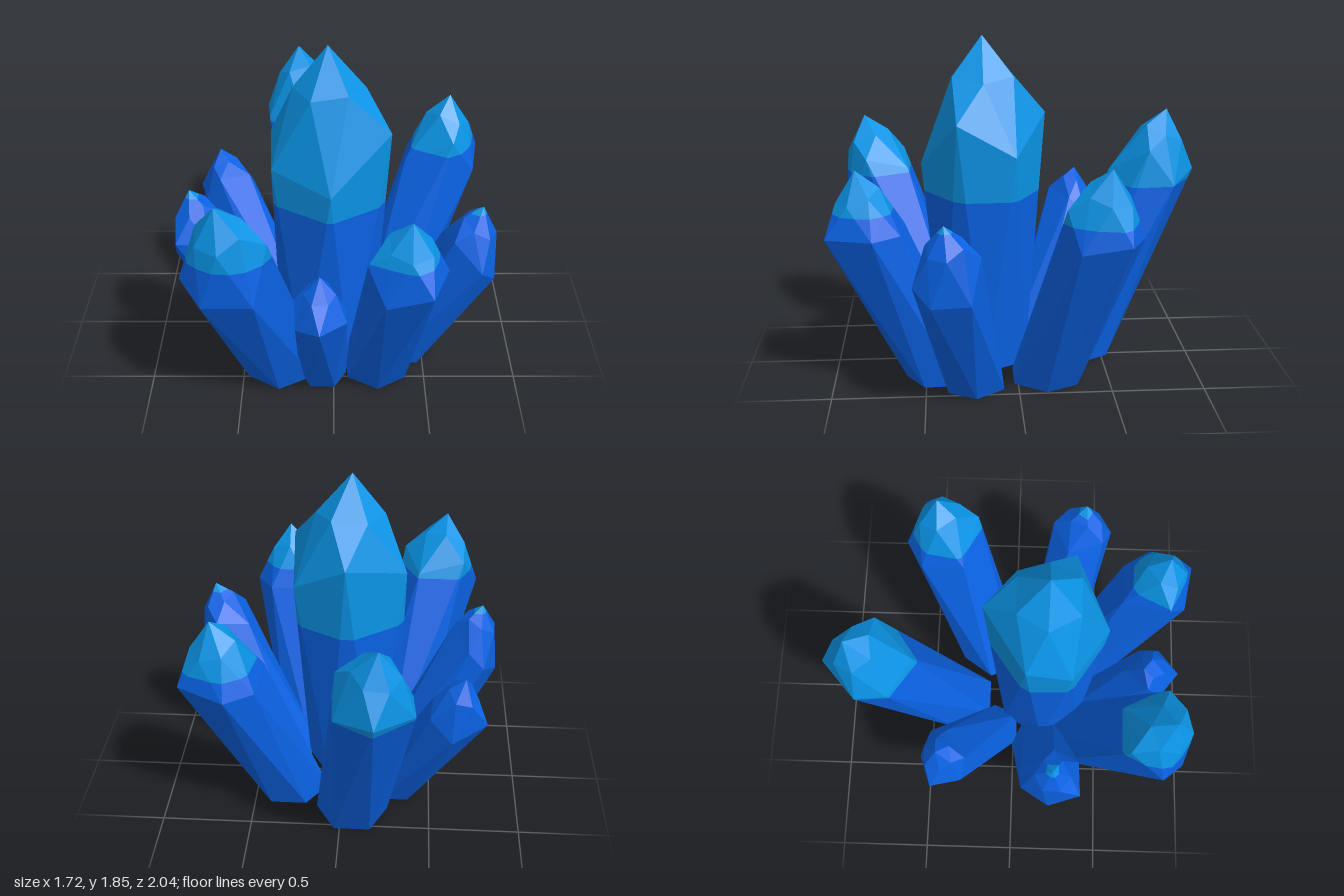
import * as THREE from 'three';

const SIDES = 6;
const SPLIT_Y = 1; // height where the deep blue changes to the light blue
// Uneven shoulder corners: height as a share of the radius, and turn in radians
const ZIGZAG = [0.42, -0.4, -0.24, 0.06, 0.42, -0.12];
const SKEW = [-0.08, 0, 0.1, -0.2, 0, 0];

// name, base centre [x, z], base radius, tip [x, y, z], shoulder radius, spin in steps, outward bend
const CRYSTALS = [
  ['mainCrystal', [-0.04, 0.17], 0.26, [-0.03, 1.85, 0.17], 0.34, 0, 0.02],
  ['backCrystal', [-0.06, -0.34], 0.2, [-0.21, 1.4, -0.88], 0.225, 0, 0.05],
  ['backLeftCrystal', [0.29, -0.15], 0.19, [0.67, 1.28, -0.45], 0.225, 1, 0.08],
  ['leftCrystal', [0.36, 0.23], 0.17, [0.78, 1.04, 0.39], 0.185, 4, 0.075],
  ['frontLeftCrystal', [0.23, 0.41], 0.18, [0.38, 1.22, 0.84], 0.215, 2.5, 0.08],
  ['frontCrystal', [-0.06, 0.46], 0.13, [-0.07, 0.86, 0.77], 0.145, 3, 0.1],
  ['frontRightCrystal', [-0.28, 0.39], 0.2, [-0.57, 1.31, 0.85], 0.24, 5.5, 0.08],
  ['rightCrystal', [-0.35, 0.16], 0.17, [-0.77, 1.04, 0.22], 0.175, 1.5, 0.08],
  ['backRightCrystal', [-0.27, -0.12], 0.15, [-0.66, 0.95, -0.41], 0.16, 3, 0.08],
];

// Part of a convex polygon above (sign 1) or below (sign -1) the split height
function clip(poly, sign) {
  const out = [];
  poly.forEach((a, i) => {
    const b = poly[(i + 1) % poly.length];
    const da = (a.y - SPLIT_Y) * sign;
    const db = (b.y - SPLIT_Y) * sign;
    if (da >= 0) out.push(a);
    if (da * db < 0) out.push(a.clone().lerp(b, da / (da - db)));
  });
  return out;
}

function facetMesh(polys, material, name) {
  const pos = [];
  for (const p of polys) {
    for (let i = 1; i < p.length - 1; i++) {
      for (const v of [p[0], p[i], p[i + 1]]) pos.push(v.x, v.y, v.z);
    }
  }
  const geo = new THREE.BufferGeometry();
  geo.setAttribute('position', new THREE.Float32BufferAttribute(pos, 3));
  geo.computeVertexNormals(); // unshared corners give flat facets
  const mesh = new THREE.Mesh(geo, material);
  mesh.name = name;
  return mesh;
}

// Leaning six-sided column, open below, with a zigzag shoulder and a two-step point
function crystalFaces([bx, bz], baseR, tipXYZ, r, spin, bend) {
  const base = new THREE.Vector3(bx, 0, bz);
  const tip = new THREE.Vector3(...tipXYZ);
  const lean = tip.clone().sub(base).normalize();
  const outward = new THREE.Vector3(lean.x, 0, lean.z).normalize();

  // The column leans further out than its point
  const along = (down, shift) =>
    tip.clone().addScaledVector(lean, -down).addScaledVector(outward, shift);
  const shoulderCentre = along(1.65 * r, bend);
  const neckCentre = along(0.66 * r, bend * 0.5);
  const axis = shoulderCentre.clone().sub(base).normalize();
  const u = new THREE.Vector3(1, 0, 0).addScaledVector(axis, -axis.x).normalize();
  const v = u.clone().cross(axis);

  const ring = (centre, radius, step, uneven) =>
    Array.from({ length: SIDES }, (_, i) => {
      const a = ((i + step + spin) * Math.PI * 2) / SIDES + uneven * SKEW[i];
      return centre.clone()
        .addScaledVector(axis, uneven * ZIGZAG[i] * r)
        .addScaledVector(u, Math.cos(a) * radius)
        .addScaledVector(v, Math.sin(a) * radius);
    });

  const foot = ring(base, baseR, 0, 0);
  foot.forEach((p) => p.addScaledVector(axis, -p.y / axis.y)); // trim to the ground
  const shoulder = ring(shoulderCentre, r, 0.5, 1);
  const neck = ring(neckCentre, 0.56 * r, 1, 0.12);

  const faces = [];
  const band = (lo, up) => {
    for (let i = 0; i < SIDES; i++) {
      const j = (i + 1) % SIDES;
      faces.push([lo[j], lo[i], up[i]], [lo[j], up[i], up[j]]);
    }
  };
  band(foot, shoulder);
  band(shoulder, neck);
  for (let i = 0; i < SIDES; i++) faces.push([neck[(i + 1) % SIDES], neck[i], tip]);
  return faces;
}

export function createModel() {
  const deepBlue = new THREE.MeshStandardMaterial({ color: 0x0a62e4, side: THREE.DoubleSide });
  deepBlue.name = 'deepBlue';
  const lightBlue = new THREE.MeshStandardMaterial({ color: 0x0a94e6, side: THREE.DoubleSide });
  lightBlue.name = 'lightBlue';

  const model = new THREE.Group();
  model.name = 'crystalCluster';
  for (const [name, ...dims] of CRYSTALS) {
    const faces = crystalFaces(...dims);
    const crystal = new THREE.Group();
    crystal.name = name;
    const lower = faces.map((f) => clip(f, -1)).filter((f) => f.length > 2);
    const upper = faces.map((f) => clip(f, 1)).filter((f) => f.length > 2);
    crystal.add(facetMesh(lower, deepBlue, 'crystalBody'));
    if (upper.length) crystal.add(facetMesh(upper, lightBlue, 'crystalPoint'));
    model.add(crystal);
  }
  return model;
}
